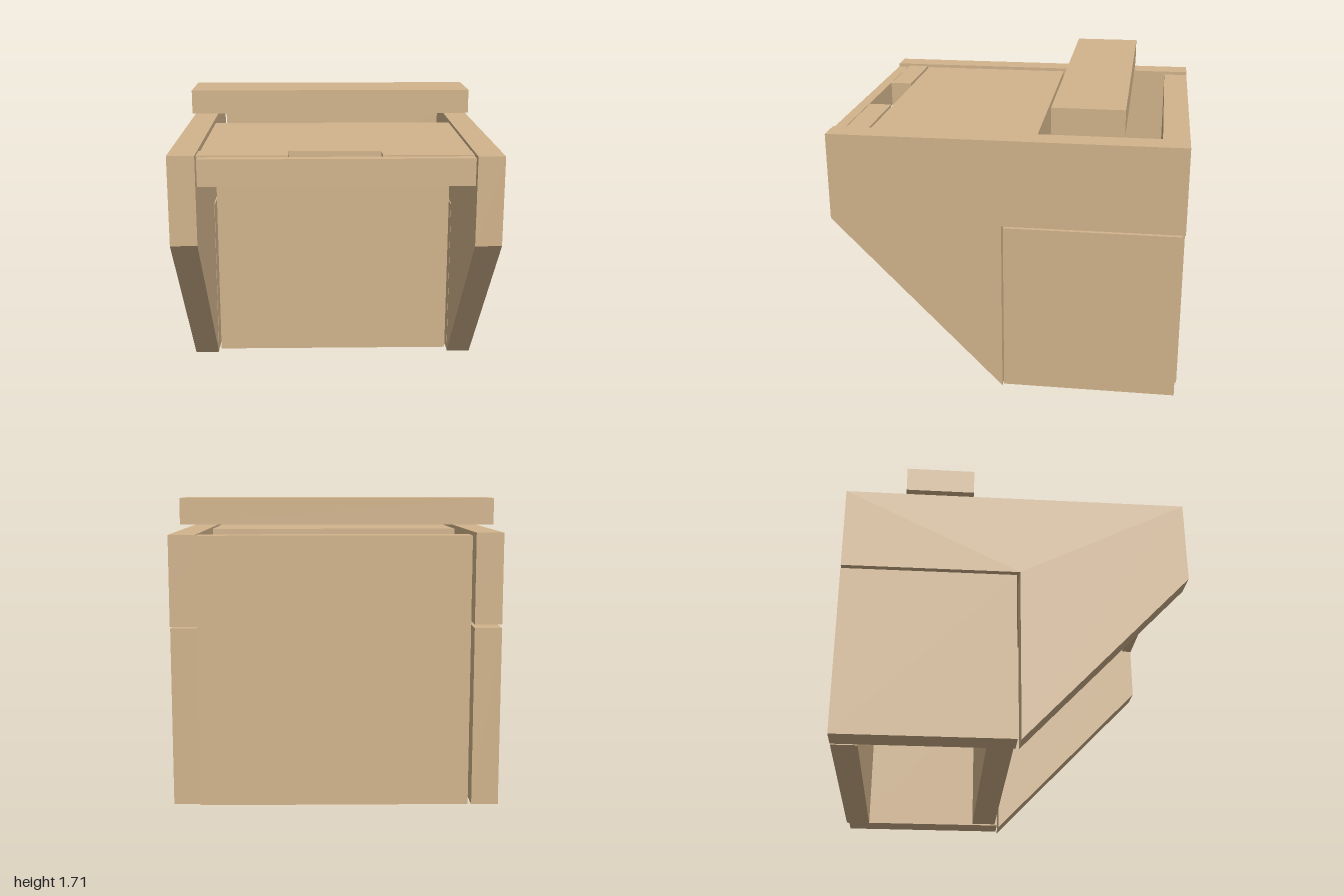
import * as THREE from 'three';

const wood = new THREE.MeshStandardMaterial({ color: 0xd2b48c });

export function createModel() {
  const group = new THREE.Group();

  // Board given by its extents along each axis
  const board = (name, [x0, x1], [y0, y1], [z0, z1]) => {
    const mesh = new THREE.Mesh(new THREE.BoxGeometry(x1 - x0, y1 - y0, z1 - z0), wood);
    mesh.position.set((x0 + x1) / 2, (y0 + y1) / 2, (z0 + z1) / 2);
    mesh.name = name;
    group.add(mesh);
  };

  // Upper side board: long rail with a triangular bracket under its front half
  const bracketSide = (name, x0, x1, lift) => {
    const profile = [[1, 1.02 + lift], [1, 1.52 + lift], [-1, 1.52 + lift], [-1, 1.02 + lift], [0.02, 1.02 + lift], [0.02, 0.003 + lift / 2]];
    // Shape x runs along -z, so the extrusion depth runs along +x after the turn
    const shape = new THREE.Shape(profile.map(([z, y]) => new THREE.Vector2(-z, y)));
    const geometry = new THREE.ExtrudeGeometry(shape, { depth: x1 - x0, bevelEnabled: false });
    geometry.rotateY(Math.PI / 2);
    const mesh = new THREE.Mesh(geometry, wood);
    mesh.position.x = x0;
    mesh.name = name;
    group.add(mesh);
  };

  // Sides
  bracketSide('leftUpperSide', 0.757, 0.905, 0);
  bracketSide('rightUpperSide', -0.91, -0.76, 0.01);
  board('leftLowerSide', [0.757, 0.905], [0.015, 1.01], [-0.985, 0.01]);
  board('rightLowerSide', [-0.91, -0.76], [0.01, 1.01], [-1, 0]);

  // Back and front walls of the box
  board('backPanel', [-0.74, 0.757], [0.012, 1.515], [-1, -0.852]);
  board('frontPanel', [-0.745, 0.745], [0.02, 1.36], [-0.157, -0.008]);

  // Top deck with the slot and lip in front of it
  board('topPanel', [-0.752, 0.748], [1.365, 1.512], [-0.163, 0.785]);
  board('rightSlotBlock', [-0.76, -0.262], [1.37, 1.517], [0.797, 0.928]);
  board('leftSlotBlock', [0.25, 0.748], [1.37, 1.515], [0.797, 0.928]);
  board('frontLip', [-0.75, 0.748], [1.36, 1.51], [0.938, 1]);

  // Loose plank above the rear opening
  board('topPlank', [-0.91, 0.885], [1.56, 1.71], [-0.65, -0.252]);

  return group;
}
